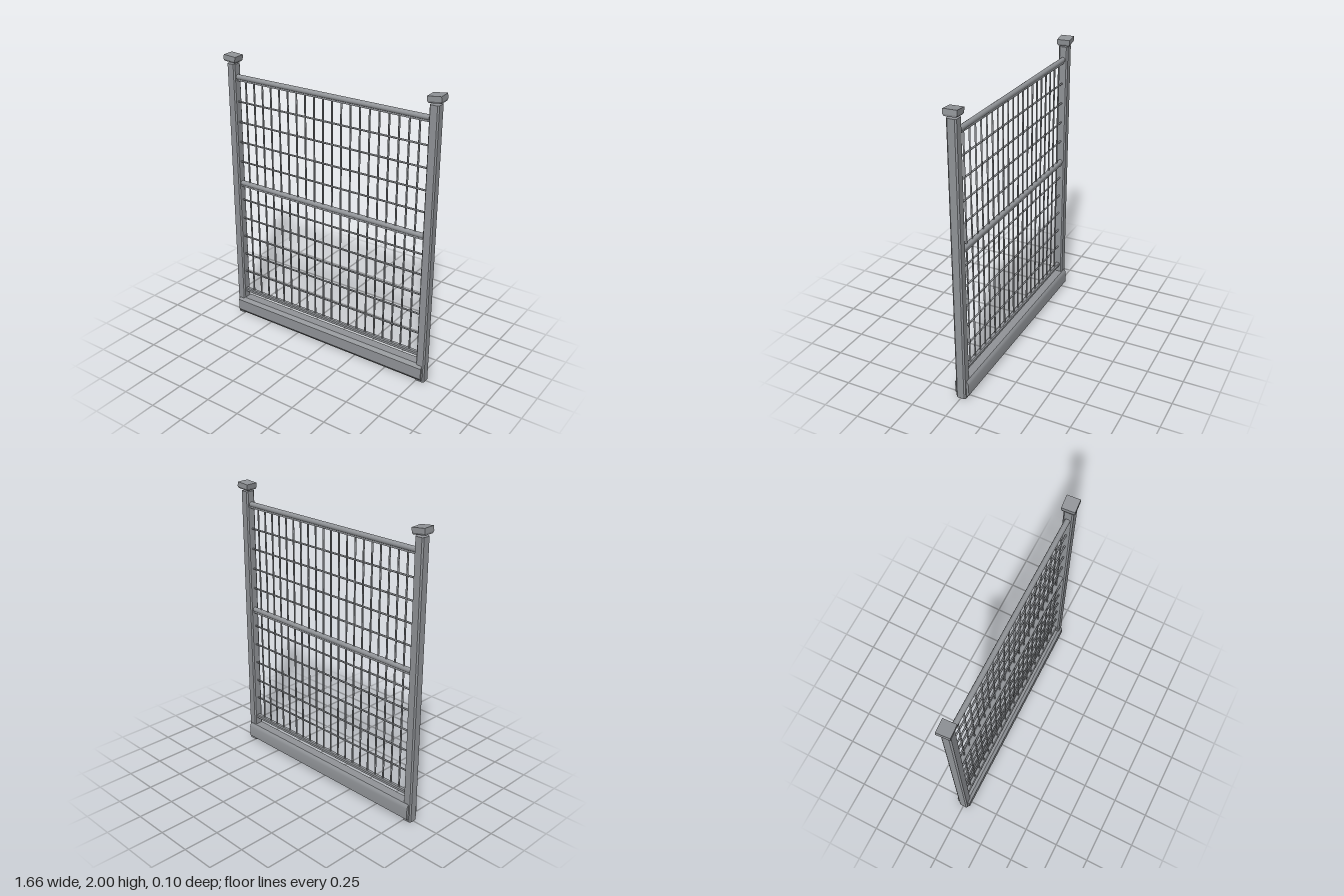
import * as THREE from 'three';
import { toCreasedNormals } from 'three/addons/utils/BufferGeometryUtils.js';

const steel = new THREE.MeshStandardMaterial({ color: 0x929599 });
steel.name = 'grey steel';

// Octagonal bar profile: w by h with chamfers cx, cy
function chamferedProfile(w, h, cx, cy) {
  const a = w / 2, b = h / 2;
  return [
    [-a + cx, -b], [a - cx, -b], [a, -b + cy], [a, b - cy],
    [a - cx, b], [-a + cx, b], [-a, b - cy], [-a, -b + cy],
  ];
}

// Profile extruded along z, centred on the origin
function barGeometry(profile, length) {
  const shape = new THREE.Shape(profile.map(([x, y]) => new THREE.Vector2(x, y)));
  const g = new THREE.ExtrudeGeometry(shape, { depth: length, bevelEnabled: false });
  return g.translate(0, 0, -length / 2);
}

export function createModel() {
  const group = new THREE.Group();
  const add = (name, geometry, x, y, z) => {
    const mesh = new THREE.Mesh(geometry, steel);
    mesh.name = name;
    mesh.position.set(x, y, z);
    group.add(mesh);
    return mesh;
  };

  // Posts with slightly crooked caps that taper at the bottom
  const postGeo = barGeometry(chamferedProfile(0.064, 0.068, 0.008, 0.01), 1.935).rotateX(-Math.PI / 2);
  const capBox = new THREE.BoxGeometry(0.092, 0.044, 0.09, 1, 2, 1);
  const p = capBox.attributes.position;
  for (let i = 0; i < p.count; i++) {
    if (p.getY(i) < -0.01) {
      p.setX(i, p.getX(i) * 0.92);
      p.setZ(i, p.getZ(i) * 0.84);
    } else if (p.getY(i) < 0.01) p.setY(i, -0.01);
  }
  const capGeo = capBox.toNonIndexed();
  capGeo.computeVertexNormals();
  for (const [side, s] of [['left', 1], ['right', -1]]) {
    add(side + 'Post', postGeo, s * 0.775, 0.9695, 0);
    add(side + 'Cap', capGeo, s * 0.778, 1.9725, -0.002).rotation.set(0, 0.07, s * 0.1);
  }

  // Kickboard beam along the ground, softly rounded at the upper front (negative x turns to the front)
  const beamProfile = [
    [-0.02, -0.065], [0.03, -0.065], [0.05, -0.039], [0.05, 0.041],
    [0.03, 0.065], [-0.034, 0.065], [-0.044, 0.052], [-0.049, 0.035], [-0.05, -0.041],
  ];
  const beamGeo = toCreasedNormals(barGeometry(beamProfile, 1.58).rotateY(Math.PI / 2), 0.5);
  add('baseBeam', beamGeo.rotateY(Math.PI), 0, 0.07, -0.002);

  // Top and middle rails: a rounded tube over a narrow lip
  const tube = new THREE.CylinderGeometry(0.018, 0.018, 1.49, 10).rotateZ(Math.PI / 2);
  const lip = new THREE.BoxGeometry(1.49, 0.016, 0.022);
  for (const [name, y] of [['top', 1.846], ['middle', 1.07]]) {
    add(name + 'Rail', tube, 0, y, 0);
    add(name + 'RailLip', lip, 0, y - 0.017, 0);
  }
  add('bottomRail', barGeometry(chamferedProfile(0.034, 0.028, 0.007, 0.006), 1.49).rotateY(Math.PI / 2), 0, 0.197, 0);

  // Wire mesh
  const upright = new THREE.CylinderGeometry(0.0062, 0.0062, 1.64, 6);
  for (let i = 0; i < 20; i++) add('verticalWire', upright, -0.674 + i * 0.0708, 1.02, 0);
  const cross = new THREE.CylinderGeometry(0.0062, 0.0062, 1.5, 6).rotateZ(Math.PI / 2);
  for (let i = 1; i < 11; i++) {
    if (i !== 6) add('horizontalWire', cross, 0, 0.208 + i * 0.1465, 0.002);
  }

  return group;
}
